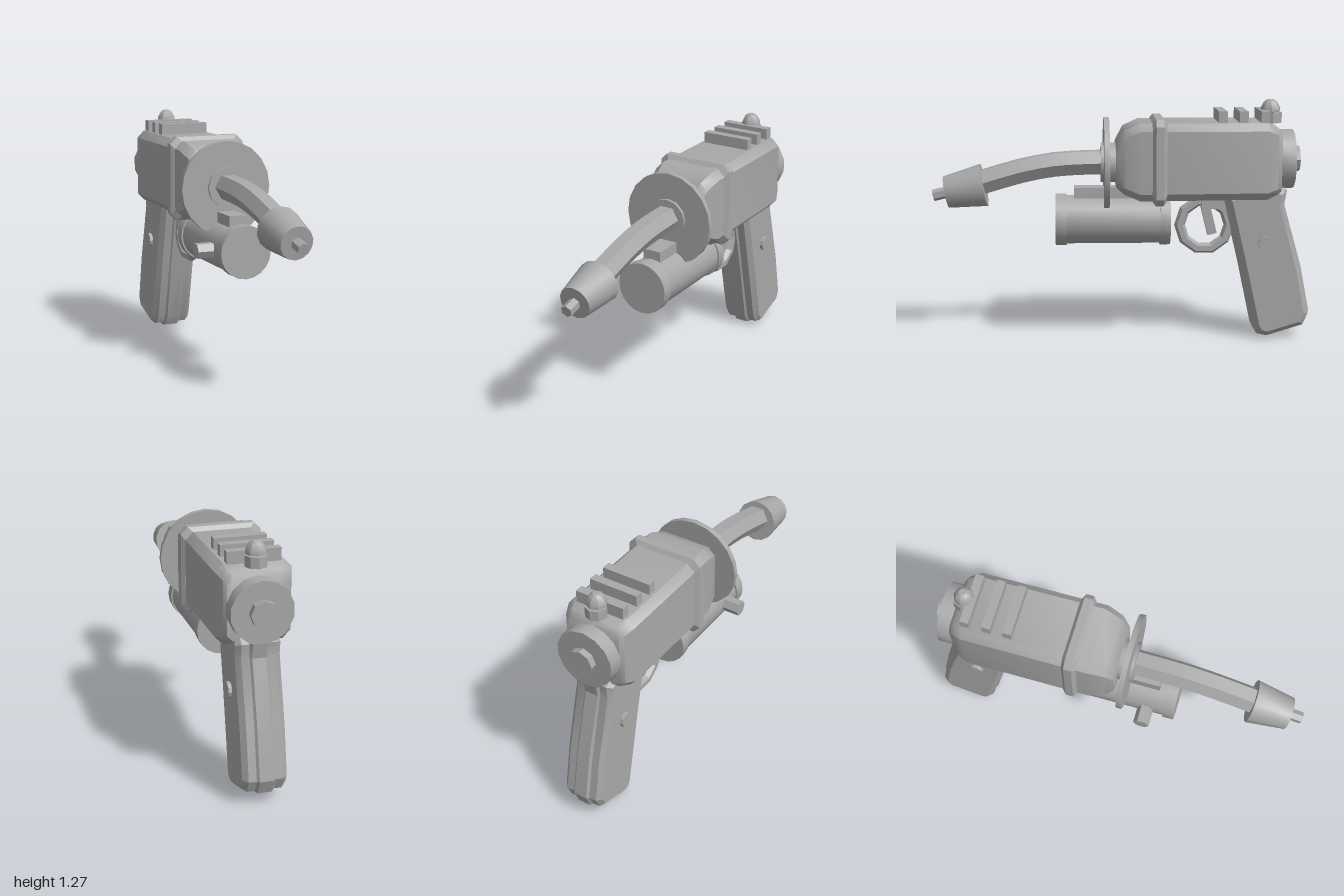
import * as THREE from 'three';
import { toCreasedNormals } from 'three/addons/utils/BufferGeometryUtils.js';

export function createModel() {
  const model = new THREE.Group();
  model.name = 'toyBlaster';
  const grey = new THREE.MeshStandardMaterial({ color: 0xa8a8a8 });
  grey.name = 'plain grey';

  const V = (x, y, z) => new THREE.Vector3(x, y, z);

  function add(name, geometry, crease = 0.6) {
    const mesh = new THREE.Mesh(toCreasedNormals(geometry, crease), grey);
    mesh.name = name;
    model.add(mesh);
    return mesh;
  }

  // Round bar or cone between two points
  function rod(name, p, q, r0, r1, sides) {
    const dir = q.clone().sub(p);
    const g = new THREE.CylinderGeometry(r1, r0, dir.length(), sides);
    g.applyQuaternion(new THREE.Quaternion().setFromUnitVectors(V(0, 1, 0), dir.normalize()));
    const c = p.clone().add(q).multiplyScalar(0.5);
    g.translate(c.x, c.y, c.z);
    return add(name, g);
  }
  const rodZ = (name, y, z0, z1, r, sides) => rod(name, V(0, y, z0), V(0, y, z1), r, r, sides);

  function box(name, w, h, d, x, y, z, tilt = 0) {
    const m = add(name, new THREE.BoxGeometry(w, h, d));
    m.position.set(x, y, z);
    m.rotation.x = tilt;
  }

  // Skin over closed rings, ordered back to front, counter-clockwise from the front
  function loft(name, rings, crease) {
    const n = rings[0].length, pos = [], idx = [];
    rings.forEach(r => r.forEach(p => pos.push(p.x, p.y, p.z)));
    for (let k = 0; k < rings.length - 1; k++) {
      for (let i = 0; i < n; i++) {
        const a = k * n + i, b = k * n + (i + 1) % n;
        idx.push(a, b, b + n, a, b + n, a + n);
      }
    }
    const last = (rings.length - 1) * n;
    for (let i = 1; i < n - 1; i++) {
      idx.push(0, i + 1, i, last, last + i, last + i + 1);
    }
    const g = new THREE.BufferGeometry();
    g.setAttribute('position', new THREE.Float32BufferAttribute(pos, 3));
    g.setIndex(idx);
    return add(name, g, crease);
  }

  // Rectangle with cut corners
  function cutRect(z, w, y0, y1, c) {
    return [
      V(w, y0 + c, z), V(w, y1 - c, z), V(w - c, y1, z), V(c - w, y1, z),
      V(-w, y1 - c, z), V(-w, y0 + c, z), V(c - w, y0, z), V(w - c, y0, z)
    ];
  }

  // Main housing and the raised band around it
  loft('body', [
    cutRect(-0.825, 0.15, 0.8, 1.11, 0.03),
    cutRect(-0.805, 0.165, 0.785, 1.135, 0.035),
    cutRect(-0.75, 0.188, 0.762, 1.162, 0.04),
    cutRect(-0.09, 0.19, 0.757, 1.162, 0.04),
    cutRect(-0.005, 0.172, 0.79, 1.125, 0.04),
    cutRect(0.036, 0.15, 0.825, 1.05, 0.04)
  ], 0.7);
  loft('bodyBand', [
    cutRect(-0.226, 0.19, 0.757, 1.162, 0.04),
    cutRect(-0.208, 0.209, 0.735, 1.183, 0.036),
    cutRect(-0.168, 0.209, 0.735, 1.183, 0.036),
    cutRect(-0.15, 0.19, 0.757, 1.162, 0.04)
  ], 0.4);

  // Front disc and hub
  rodZ('frontDisc', 0.936, 0.07, 0.098, 0.247, 20);
  rodZ('frontHub', 0.942, 0.02, 0.114, 0.105, 12);

  // Drooping six-sided barrel
  const path = new THREE.CatmullRomCurve3([
    V(0, 0.946, 0.05), V(0, 0.943, 0.2), V(0, 0.933, 0.36), V(0, 0.899, 0.54), V(0, 0.835, 0.76)
  ]);
  const barrelRings = [];
  for (let k = 0; k <= 8; k++) {
    const p = path.getPoint(k / 8), t = path.getTangent(k / 8);
    const up = V(0, t.z, -t.y);
    barrelRings.push(Array.from({ length: 6 }, (_, i) => {
      const a = i * Math.PI / 3;
      return p.clone().addScaledVector(up, 0.07 * Math.sin(a)).add(V(0.07 * Math.cos(a), 0, 0));
    }));
  }
  loft('barrel', barrelRings, 0.5);
  rod('nozzle', V(0, 0.826, 0.727), V(0, 0.789, 0.927), 0.114, 0.085, 14);
  rod('nozzleTip', V(0, 0.792, 0.91), V(0, 0.772, 0.995), 0.031, 0.031, 6);

  // Rear cap and knob
  rodZ('rearCap', 0.958, -0.9, -0.8, 0.157, 14);
  rodZ('rearKnob', 0.958, -0.935, -0.89, 0.068, 8);

  // Cooling fins and top button
  for (const z of [-0.517, -0.625, -0.737]) box('coolingFin', 0.267, 0.09, 0.045, 0, 1.175, z);
  rod('buttonCollar', V(0, 1.15, -0.785), V(0, 1.205, -0.785), 0.055, 0.055, 8);
  const dome = [[0, 1.2], [0.052, 1.21], [0.052, 1.228], [0.035, 1.26], [0.018, 1.272], [0, 1.272]];
  add('topButton', new THREE.LatheGeometry(dome.map(([r, y]) => new THREE.Vector2(r, y)), 8))
    .position.z = -0.779;

  // Canister under the barrel, its mount and side valve
  rodZ('canister', 0.64, -0.21, 0.31, 0.129, 20);
  rodZ('canisterFrontCap', 0.64, 0.295, 0.353, 0.138, 20);
  rodZ('canisterRearCap', 0.64, -0.25, -0.197, 0.138, 20);
  box('canisterMount', 0.1, 0.1, 0.345, 0, 0.765, 0.083);
  rod('sideValve', V(-0.1, 0.638, 0.2), V(-0.215, 0.638, 0.2), 0.042, 0.042, 6);

  // Grip: narrow spine between bevelled cheeks; outlines are (z, y)
  function slab(name, pts, halfWidth, bevel) {
    const shape = new THREE.Shape(pts.map(([z, y]) => new THREE.Vector2(z, y)));
    const depth = 2 * (halfWidth - bevel);
    const g = new THREE.ExtrudeGeometry(shape, {
      depth, bevelSize: bevel, bevelThickness: bevel, bevelOffset: -bevel, bevelSegments: 1
    });
    g.translate(0, 0, -depth / 2);
    g.rotateY(-Math.PI / 2);
    add(name, g, 0.4);
  }
  slab('gripSpine', [
    [-0.533, 0.765], [-0.62, 0.406], [-0.693, 0.064], [-0.72, 0.016], [-0.77, 0.004], [-0.97, 0.066],
    [-1, 0.139], [-0.952, 0.385], [-0.858, 0.717], [-0.871, 0.797], [-0.81, 0.845]
  ], 0.05, 0.015);
  slab('gripCheeks', [
    [-0.543, 0.77], [-0.628, 0.406], [-0.703, 0.068], [-0.725, 0.03], [-0.77, 0.018], [-0.96, 0.076],
    [-0.988, 0.139], [-0.94, 0.385], [-0.848, 0.717], [-0.856, 0.79], [-0.81, 0.825]
  ], 0.112, 0.025);
  rod('gripPin', V(-0.13, 0.525, -0.751), V(0.13, 0.525, -0.751), 0.04, 0.04, 10);

  // Trigger and its guard
  const guard = new THREE.TorusGeometry(0.132, 0.029, 6, 10);
  guard.rotateY(Math.PI / 2);
  add('triggerGuard', guard, 0.4).position.set(0, 0.607, -0.437);
  box('triggerBlock', 0.07, 0.08, 0.13, 0, 0.735, -0.485);
  box('trigger', 0.04, 0.17, 0.05, 0, 0.64, -0.458, 0.24);

  return model;
}
